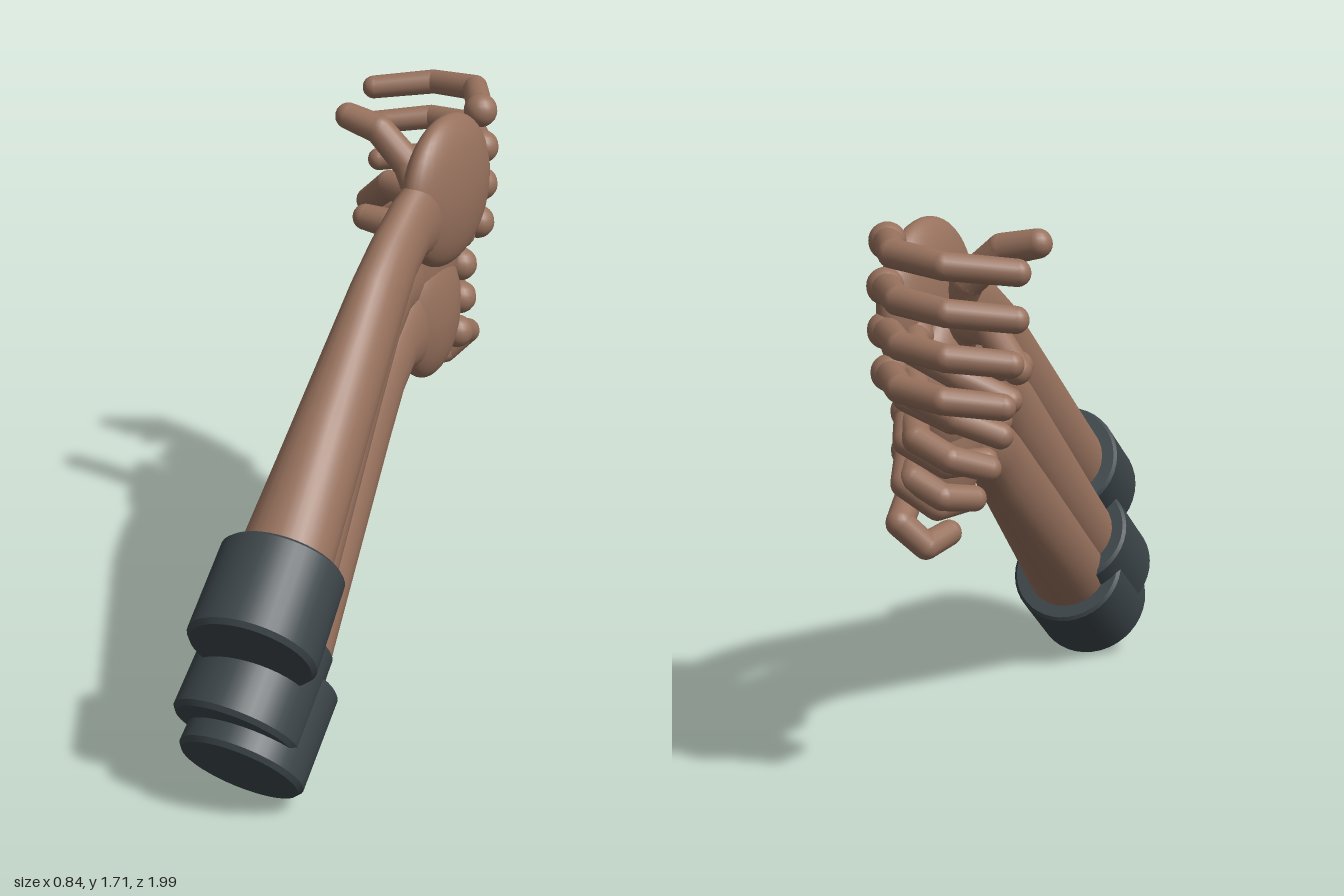
import * as THREE from 'three';

const skin = new THREE.MeshStandardMaterial({ color: 0x97715d });
skin.name = 'skin';
const cloth = new THREE.MeshStandardMaterial({ color: 0x3b4448 });
cloth.name = 'dark cloth';

const V = (x, y, z) => new THREE.Vector3(x, y, z);
const mix = (a, b, t = 0.5) => a.clone().lerp(b, t);
const UP = V(0, 1, 0);

function add(parent, name, geometry, material) {
  const mesh = new THREE.Mesh(geometry, material);
  mesh.name = name;
  parent.add(mesh);
  return mesh;
}

// Tapered limb: one elliptical ring per centre, radii = [halfWidth, halfHeight]
function limbGeometry(centres, radii, sides = 28) {
  const pos = [], index = [], last = centres.length - 1;
  centres.forEach((centre, i) => {
    const t = centres[Math.min(i + 1, last)].clone().sub(centres[Math.max(i - 1, 0)]).normalize();
    const u = V(1, 0, 0).addScaledVector(t, -t.x).normalize();
    const v = t.clone().cross(u);
    for (let j = 0; j < sides; j++) {
      const a = (j / sides) * Math.PI * 2;
      const p = centre.clone().addScaledVector(u, Math.cos(a) * radii[i][0]).addScaledVector(v, Math.sin(a) * radii[i][1]);
      pos.push(p.x, p.y, p.z);
      if (i < last) {
        const k = (j + 1) % sides, b = i * sides, c = b + sides;
        index.push(b + j, b + k, c + j, b + k, c + k, c + j);
      }
    }
  });
  const g = new THREE.BufferGeometry();
  g.setAttribute('position', new THREE.Float32BufferAttribute(pos, 3));
  g.setIndex(index);
  g.computeVertexNormals();
  return g;
}

// Round part running from a to b
function between(parent, name, a, b, geometry, material) {
  const mesh = add(parent, name, geometry, material);
  mesh.position.copy(a).add(b).multiplyScalar(0.5);
  mesh.quaternion.setFromUnitVectors(UP, b.clone().sub(a).normalize());
}

// Jointed finger: ball knuckle, tapered bones, round tip
function finger(parent, name, points, r0, r1, knuckle) {
  const group = new THREE.Group();
  group.name = name;
  parent.add(group);
  const n = points.length - 1;
  const radius = (i) => r0 + ((r1 - r0) * i) / n;
  points.forEach((p, i) => {
    const part = i === 0 ? 'knuckle' : i === n ? 'fingertip' : 'joint';
    add(group, part, new THREE.SphereGeometry(i === 0 ? knuckle : radius(i), 18, 12), skin).position.copy(p);
    if (i === n) return;
    const q = points[i + 1];
    between(group, 'bone', p, q, new THREE.CylinderGeometry(radius(i + 1), radius(i), p.distanceTo(q), 16, 1, true), skin);
  });
}

// Cuff with softened rims; repeated points keep the edges sharp
function cuff(parent, a, b) {
  const h = a.distanceTo(b) / 2, r = 0.192;
  const profile = [[0, -h], [r - 0.012, -h], [r - 0.012, -h], [r, -h + 0.015], [r, -h + 0.015],
    [r - 0.006, h - 0.01], [r - 0.006, h - 0.01], [r - 0.016, h], [r - 0.016, h], [0, h]];
  const g = new THREE.LatheGeometry(profile.map((p) => new THREE.Vector2(...p)), 40);
  between(parent, 'cuff', a, b, g, cloth);
}

const FINGER_NAMES = ['indexFinger', 'middleFinger', 'ringFinger', 'littleFinger'];
const ARM_RADII = [[0.14, 0.135], [0.11, 0.127], [0.081, 0.117], [0.074, 0.108], [0.07, 0.112], [0.065, 0.147], [0.05, 0.165]];

function buildArm(s) {
  const arm = new THREE.Group();
  arm.name = s.name;
  cuff(arm, s.cuffEnd, s.cuffTop);

  // Forearm from inside the cuff, over the bend and wrist, into the palm
  const start = mix(s.cuffTop, s.cuffEnd, 0.1);
  const bow = mix(s.bend, s.wrist).add(V(0, 0.015, 0));
  const centres = [start, mix(start, s.bend), s.bend, bow, s.wrist, mix(s.wrist, s.palm), s.palm];
  add(arm, 'forearm', limbGeometry(centres, ARM_RADII), skin);

  // Flattened round palm
  const palm = add(arm, 'palm', new THREE.SphereGeometry(1, 36, 24), skin);
  palm.position.copy(s.palm);
  palm.scale.copy(s.palmSize);

  // Fingers step down from the index; their curl blends from index to little finger
  FINGER_NAMES.forEach((name, i) => {
    const arch = Math.sin((i / 3) * Math.PI);
    const knuckle = s.knuckle.clone().add(V(0, -s.spacing * i, -0.018 * arch));
    const joints = s.indexCurl.map((c, j) => mix(c, s.littleCurl[j], i / 3).add(V(-0.02 * arch, 0, 0)).add(knuckle));
    finger(arm, name, [knuckle, ...joints], 0.042, 0.037, 0.053);
  });
  finger(arm, 'thumb', s.thumb, 0.055, 0.042, 0.06);
  return arm;
}

export function createModel() {
  const model = new THREE.Group();
  model.name = 'stackedHands';

  model.add(buildArm({
    name: 'upperArm',
    cuffEnd: V(0.235, 0.55, 0.885), cuffTop: V(0.195, 0.72, 0.64),
    bend: V(0.108, 1.28, -0.04), wrist: V(0.07, 1.41, -0.29),
    palm: V(0.07, 1.465, -0.53), palmSize: V(0.085, 0.243, 0.245),
    knuckle: V(0.08, 1.67, -0.73), spacing: 0.123,
    indexCurl: [V(-0.12, 0.005, -0.19), V(-0.29, -0.01, -0.225), V(-0.46, -0.03, -0.13)],
    littleCurl: [V(-0.12, 0, -0.16), V(-0.27, -0.01, -0.2), V(-0.41, -0.03, -0.12)],
    thumb: [V(0.02, 1.43, -0.48), V(-0.05, 1.53, -0.51), V(-0.16, 1.63, -0.51), V(-0.27, 1.655, -0.51)],
  }));

  model.add(buildArm({
    name: 'middleArm',
    cuffEnd: V(0.17, 0.275, 0.875), cuffTop: V(0.155, 0.475, 0.635),
    bend: V(0.045, 1.05, -0.06), wrist: V(0, 1.19, -0.31),
    palm: V(0, 1.24, -0.52), palmSize: V(0.083, 0.225, 0.19),
    knuckle: V(0.03, 1.4, -0.67), spacing: 0.115,
    indexCurl: [V(-0.08, -0.01, -0.15), V(-0.22, -0.06, -0.17), V(-0.34, -0.13, -0.1)],
    littleCurl: [V(-0.06, -0.03, -0.13), V(-0.15, -0.07, -0.13), V(-0.2, -0.09, -0.04)],
    thumb: [V(-0.01, 1.34, -0.51), V(-0.07, 1.42, -0.56), V(-0.17, 1.42, -0.6), V(-0.28, 1.33, -0.66)],
  }));

  model.add(buildArm({
    name: 'lowerArm',
    cuffEnd: V(0.185, 0.155, 0.875), cuffTop: V(0.17, 0.345, 0.63),
    bend: V(0.06, 0.875, -0.06), wrist: V(0.02, 1.02, -0.31),
    palm: V(0.02, 1.06, -0.51), palmSize: V(0.085, 0.225, 0.165),
    knuckle: V(0.06, 1.29, -0.64), spacing: 0.113,
    indexCurl: [V(-0.06, -0.04, -0.14), V(-0.2, -0.09, -0.14), V(-0.3, -0.1, -0.05)],
    littleCurl: [V(-0.04, -0.06, -0.15), V(-0.1, -0.13, -0.11), V(-0.12, -0.115, -0.01)],
    thumb: [V(0, 1.19, -0.5), V(-0.07, 1.27, -0.54), V(-0.15, 1.31, -0.55), V(-0.23, 1.315, -0.55)],
  }));

  return model;
}
